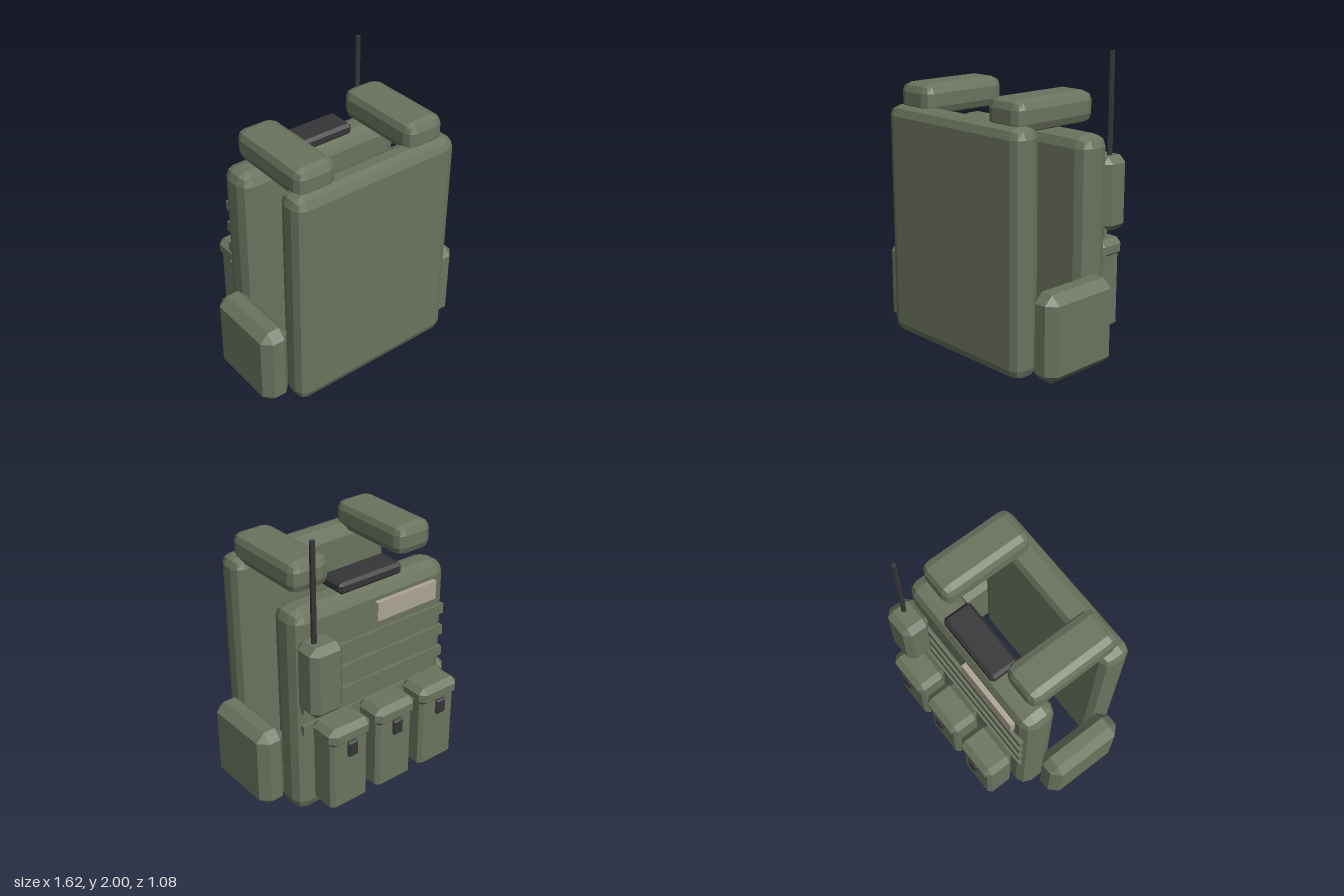
import * as THREE from 'three';
import { RoundedBoxGeometry } from 'three/addons/geometries/RoundedBoxGeometry.js';
import { ConvexGeometry } from 'three/addons/geometries/ConvexGeometry.js';

// Flat-faceted box with a two-step bevel
function bevelBox(w, h, d, r) {
  const g = new RoundedBoxGeometry(w, h, d, 1, r);
  g.computeVertexNormals();
  return g;
}

// Box with a single chamfer c on every edge
function chamferBox(w, h, d, c) {
  const pts = [];
  const half = [w / 2, h / 2, d / 2];
  for (const sx of [-1, 1]) for (const sy of [-1, 1]) for (const sz of [-1, 1]) {
    const s = [sx, sy, sz];
    for (let axis = 0; axis < 3; axis++) {
      const p = half.map((v, i) => s[i] * (i === axis ? v : v - c));
      pts.push(new THREE.Vector3(...p));
    }
  }
  return new ConvexGeometry(pts);
}

export function createModel() {
  const group = new THREE.Group();
  const material = (name, color) => {
    const m = new THREE.MeshStandardMaterial({ color });
    m.name = name;
    return m;
  };
  const olive = material('olive fabric', 0x6b735e);
  const black = material('black plastic', 0x363638);
  const tan = material('tan patch', 0xaca595);

  // Places a part by its extents: x, y and z ranges; bevel 0 gives a plain box
  const add = (name, mat, [x0, x1], [y0, y1], [z0, z1], make, bevel) => {
    const w = x1 - x0, h = y1 - y0, d = z1 - z0;
    const geo = make ? make(w, h, d, bevel) : new THREE.BoxGeometry(w, h, d);
    const mesh = new THREE.Mesh(geo, mat);
    mesh.name = name;
    mesh.position.set((x0 + x1) / 2, (y0 + y1) / 2, (z0 + z1) / 2);
    group.add(mesh);
  };

  // Chest and back panels
  add('frontPanel', olive, [-0.62, 0.62], [0.05, 1.625], [0.335, 0.54], bevelBox, 0.07);
  add('backPanel', olive, [-0.62, 0.62], [0.005, 1.5], [-0.27, -0.025], bevelBox, 0.08);

  // Shoulder pads and side pouches
  for (const [side, s] of [['left', 1], ['right', -1]]) {
    const span = (a, b) => (s > 0 ? [a, b] : [-b, -a]);
    add(side + 'ShoulderPad', olive, span(0.275, 0.56), [1.57, 1.775], [-0.185, 0.475], bevelBox, 0.06);
    add(side + 'SidePouch', olive, span(0.605, 0.81), [0.05, 0.625], [-0.145, 0.435], chamferBox, 0.06);
  }

  // Carry handle
  add('carryHandle', black, [-0.25, 0.25], [1.505, 1.585], [-0.25, -0.045], chamferBox, 0.02);

  // Webbing strips across the back
  for (let i = 0; i < 4; i++) {
    const y = 0.675 + i * 0.162;
    add('webbingStrip', olive, [-0.585, 0.585], [y - 0.035, y + 0.035], [-0.295, -0.265]);
  }

  // Name patch
  add('patch', tan, [-0.5, -0.005], [1.265, 1.395], [-0.304, -0.265]);

  // Three back pouches with lids and buckles
  for (const x of [-0.378, 0, 0.376]) {
    add('pouchBody', olive, [x - 0.15, x + 0.15], [0.13, 0.68], [-0.5, -0.295], chamferBox, 0.025);
    add('pouchLid', olive, [x - 0.165, x + 0.165], [0.62, 0.755], [-0.525, -0.295], chamferBox, 0.04);
    add('pouchBuckle', black, [x - 0.04, x + 0.04], [0.53, 0.645], [-0.538, -0.505], chamferBox, 0.012);
  }

  // Radio and aerial
  add('radio', olive, [0.375, 0.62], [0.84, 1.335], [-0.46, -0.255], chamferBox, 0.045);
  const aerial = new THREE.Mesh(
    new THREE.CylinderGeometry(0.018, 0.018, 0.72, 6).toNonIndexed(), black);
  aerial.geometry.computeVertexNormals();
  aerial.name = 'aerial';
  aerial.position.set(0.54, 1.64, -0.355);
  group.add(aerial);

  return group;
}
